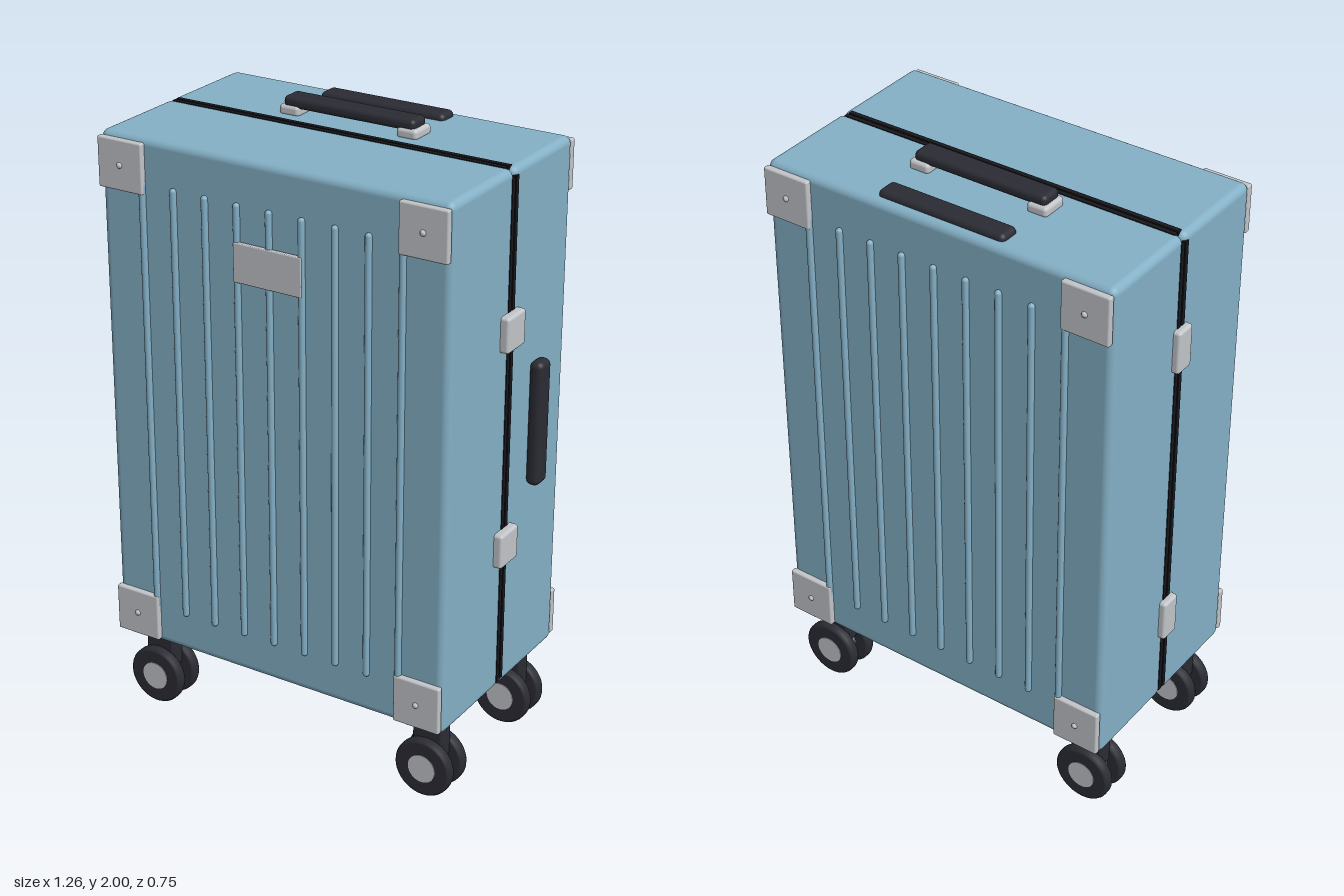
import * as THREE from 'three';
import { RoundedBoxGeometry } from 'three/addons/geometries/RoundedBoxGeometry.js';

const paint = (name, color) => {
  const m = new THREE.MeshStandardMaterial({ color });
  m.name = name;
  return m;
};

export function createModel() {
  const blue = paint('shellBlue', 0x84b0c6);
  const metal = paint('paleMetal', 0xc2c5c9);
  const dark = paint('darkRubber', 0x2b2c34);
  const black = paint('seamBlack', 0x17181d);

  const model = new THREE.Group();
  model.name = 'suitcase';

  const CX = -0.0145, CY = 1.106; // centre of the case
  const W = 1.19, H = 1.68, D = 0.347; // width, height, depth of one half

  const add = (name, geo, mat, x, y, z, parent = model) => {
    const mesh = new THREE.Mesh(geo, mat);
    mesh.name = name;
    mesh.position.set(x, y, z);
    parent.add(mesh);
    return mesh;
  };
  const rbox = (w, h, d, r, seg = 3) => new RoundedBoxGeometry(w, h, d, seg, r);

  // Two shell halves meeting at a narrow seam, each with a dark frame band
  const shellGeo = rbox(W, H, D, 0.024, 4);
  const bandX = new THREE.BoxGeometry(W - 0.046, 0.04, 0.015);
  const bandY = new THREE.BoxGeometry(0.04, H - 0.046, 0.015);
  for (const s of [1, -1]) {
    add(s > 0 ? 'frontShell' : 'backShell', shellGeo, blue, CX, CY, s * D / 2);
    for (const e of [1, -1]) {
      add('seamBand', bandX, black, CX, CY + e * (H / 2 - 0.018), s * 0.0105);
      add('seamBand', bandY, black, CX + e * (W / 2 - 0.018), CY, s * 0.0105);
    }
  }

  // Ribs, corner plates and rivets on the front and back
  const ribGeo = new THREE.CapsuleGeometry(0.0105, 1.398, 6, 14);
  const plateGeo = rbox(0.158, 0.157, 0.022, 0.006);
  const rivetGeo = new THREE.SphereGeometry(0.01, 14, 10);
  for (const s of [1, -1]) {
    for (let i = -4; i <= 4; i++) add('rib', ribGeo, blue, CX + i * 0.1108, 1.104, s * 0.352);
    for (const sx of [1, -1]) for (const sy of [1, -1]) {
      const x = CX + sx * 0.513, y = CY + sy * 0.7475;
      add('cornerPlate', plateGeo, metal, x, y, s * 0.354);
      add('rivet', rivetGeo, metal, x, y, s * 0.363);
    }
  }
  add('namePlate', rbox(0.233, 0.122, 0.016, 0.003), metal, CX, 1.636, 0.3575);

  // Latches and carry handle on the left side, hinges on the right side
  const latchGeo = rbox(0.044, 0.112, 0.104, 0.01);
  for (const y of [1.461, 0.762]) add('latch', latchGeo, metal, 0.586, y, 0.008);
  const hingeGeo = rbox(0.044, 0.142, 0.07, 0.01);
  for (const y of [1.578, 0.588]) add('hinge', hingeGeo, metal, -0.61, y, -0.001);
  add('sideHandle', rbox(0.046, 0.406, 0.068, 0.02, 4), dark, 0.603, 1.111, -0.152);

  // Top handle on its two mounts, and the grip of the telescopic handle
  const mountGeo = rbox(0.069, 0.034, 0.09, 0.012);
  for (const s of [1, -1]) add('handleMount', mountGeo, metal, CX + s * 0.203, 1.957, -0.102);
  add('topHandle', rbox(0.452, 0.036, 0.074, 0.015, 4), dark, CX, 1.982, -0.1);
  add('telescopicGrip', rbox(0.432, 0.04, 0.072, 0.017, 4), dark, CX, 1.945, -0.284);

  // Twin-wheel casters
  const R = 0.0965, half = 0.0185;
  const tyrePts = [[0, -half], [R - 0.009, -half], [R - 0.009, -half], [R - 0.003, -half + 0.003],
    [R, -half + 0.009], [R, half - 0.009], [R - 0.003, half - 0.003], [R - 0.009, half],
    [R - 0.009, half], [0, half]].map(([x, y]) => new THREE.Vector2(x, y));
  const tyreGeo = new THREE.LatheGeometry(tyrePts, 40).rotateX(Math.PI / 2);
  const hubGeo = new THREE.CylinderGeometry(0.047, 0.047, 0.041, 28).rotateX(Math.PI / 2);
  const axleGeo = new THREE.CylinderGeometry(0.016, 0.016, 0.09, 16).rotateX(Math.PI / 2);
  const housingGeo = rbox(0.102, 0.15, 0.058, 0.008);
  for (const sx of [1, -1]) for (const sz of [1, -1]) {
    const caster = new THREE.Group();
    caster.name = 'caster';
    caster.position.set(CX + sx * 0.5015, 0, sz * 0.245);
    model.add(caster);
    add('casterHousing', housingGeo, dark, 0, 0.2, 0, caster);
    add('axle', axleGeo, dark, 0, R, 0, caster);
    for (const s of [1, -1]) {
      add('wheel', tyreGeo, dark, 0, R, s * 0.039, caster);
      add('hub', hubGeo, metal, 0, R, s * 0.039, caster);
    }
  }

  return model;
}
